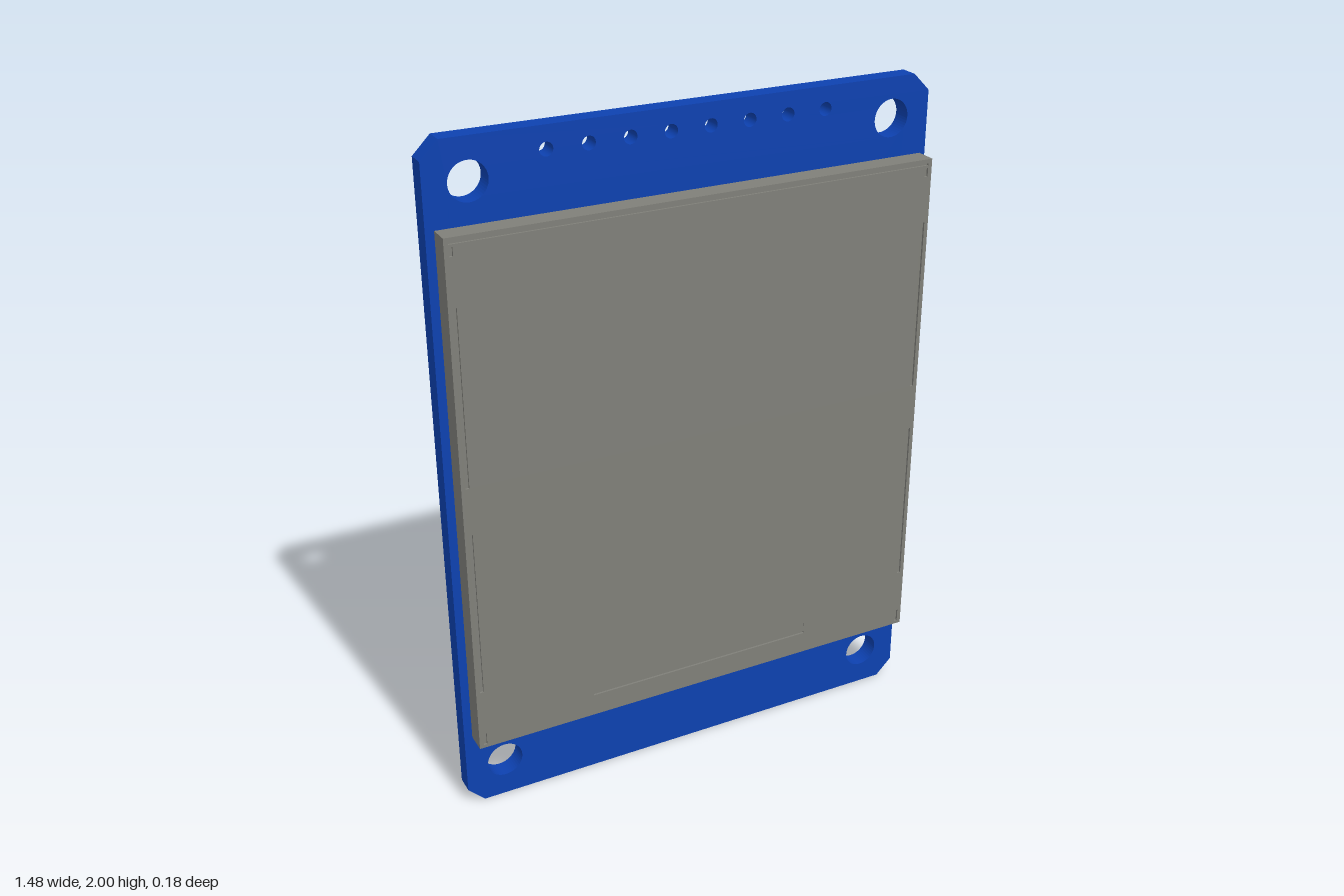
import * as THREE from 'three';

const material = (name, color) => {
  const m = new THREE.MeshStandardMaterial({ color });
  m.name = name;
  return m;
};

// Closed rectangle as a path, used for outlines and cut-outs
function rectPath(x0, y0, x1, y1, Type = THREE.Path) {
  const p = new Type();
  p.moveTo(x0, y0).lineTo(x1, y0).lineTo(x1, y1).lineTo(x0, y1).closePath();
  return p;
}

function roundHole(x, y, r) {
  const p = new THREE.Path();
  p.absarc(x, y, r, 0, Math.PI * 2, true);
  return p;
}

export function createModel() {
  const model = new THREE.Group();
  model.name = 'displayModule';
  const blue = material('boardBlue', 0x0d41b0);
  const grey = material('screenGrey', 0x7f7f79);
  const metal = material('componentGrey', 0x878782);
  const black = material('componentBlack', 0x121212);

  function add(parent, name, geometry, mat) {
    const mesh = new THREE.Mesh(geometry, mat);
    mesh.name = name;
    parent.add(mesh);
    return mesh;
  }
  function box(parent, name, mat, x0, x1, y0, y1, z0, z1) {
    const mesh = add(parent, name, new THREE.BoxGeometry(x1 - x0, y1 - y0, z1 - z0), mat);
    mesh.position.set((x0 + x1) / 2, (y0 + y1) / 2, (z0 + z1) / 2);
    return mesh;
  }
  function plate(parent, name, mat, shape, z0, z1) {
    const geometry = new THREE.ExtrudeGeometry(shape, { depth: z1 - z0, bevelEnabled: false, curveSegments: 24 });
    geometry.translate(0, 0, z0);
    return add(parent, name, geometry, mat);
  }

  // Circuit board with clipped corners, mounting holes and a pin row
  const W = 0.74, H = 2, C = 0.05, BACK = -0.035, FRONT = 0.02;
  const outline = new THREE.Shape([
    [-W + C, 0], [W - C, 0], [W, C], [W, H - C],
    [W - C, H], [-W + C, H], [-W, H - C], [-W, C],
  ].map(([x, y]) => new THREE.Vector2(x, y)));
  for (const x of [-0.62, 0.62]) {
    for (const y of [0.12, 1.885]) outline.holes.push(roundHole(x, y, 0.054));
  }
  for (let i = 0; i < 8; i++) outline.holes.push(roundHole(-0.41 + i * 0.1164, 1.937, 0.019));
  plate(model, 'circuitBoard', blue, outline, BACK, FRONT);

  // Screen: solid body with a thin front panel carrying shallow slots
  const screen = new THREE.Group();
  screen.name = 'screen';
  model.add(screen);
  box(screen, 'screenBody', grey, -0.718, 0.718, 0.24, 1.775, 0.027, 0.084);
  const panel = rectPath(-0.718, 0.24, 0.718, 1.775, THREE.Shape);
  for (const s of [-1, 1]) {
    for (const [y0, y1] of [[0.25, 0.29], [0.43, 0.94], [1.08, 1.59], [1.725, 1.75]]) {
      const a = s * 0.695, b = s * 0.706;
      panel.holes.push(rectPath(Math.min(a, b), y0, Math.max(a, b), y1));
    }
  }
  panel.holes.push(rectPath(-0.706, 1.757, 0.706, 1.763));
  panel.holes.push(rectPath(-0.36, 0.308, 0.355, 0.345));
  plate(screen, 'frontPanel', grey, panel, 0.084, 0.09);
  box(screen, 'slotFill', grey, -0.36, 0.355, 0.315, 0.345, 0.084, 0.089);

  // Flat ribbon folded under the lower screen edge
  box(screen, 'ribbonFold', grey, -0.48, 0.36, 0.23, 0.25, 0.02, 0.065);
  box(screen, 'ribbonBack', grey, -0.48, 0.36, 0.25, 0.75, 0.02, 0.0275);

  // Small parts on the back
  const parts = new THREE.Group();
  parts.name = 'backComponents';
  model.add(parts);
  for (const x of [0.465, 0.226, 0.165]) {
    box(parts, 'resistor', black, x - 0.02, x + 0.02, 0.93, 1.0, -0.058, BACK);
  }
  box(parts, 'capacitor', metal, 0.07, 0.108, 0.93, 1.0, -0.075, BACK);

  // Transistor body with sloped sides, and three bent leads
  const tx = 0.342;
  const profile = new THREE.Shape([
    [-0.06, 0.041], [0.06, 0.041], [0.068, 0.067], [0.06, 0.09], [-0.06, 0.09], [-0.068, 0.067],
  ].map(([x, z]) => new THREE.Vector2(x, z)));
  const body = new THREE.ExtrudeGeometry(profile, { depth: 0.055, bevelEnabled: false });
  body.rotateX(-Math.PI / 2); // profile height now runs towards -z
  body.translate(tx, 0.947, 0);
  add(parts, 'transistorBody', body, metal);
  for (const [dx, dir] of [[0, 1], [-0.045, -1], [0.045, -1]]) {
    const edge = dir > 0 ? 1.0 : 0.949, tip = edge + dir * 0.02;
    const lo = Math.min(edge, tip), hi = Math.max(edge, tip);
    const x0 = tx + dx - 0.01, x1 = tx + dx + 0.01;
    box(parts, 'transistorLead', metal, x0, x1, lo, hi, -0.067, -0.059);
    box(parts, 'transistorFoot', metal, x0, x1, dir > 0 ? hi - 0.007 : lo, dir > 0 ? hi : lo + 0.007, -0.059, BACK);
  }

  // Fine raised outlines on the back
  const t = 0.004;
  for (const [x0, y0, x1, y1] of [
    [-0.53, 0.19, 0.46, 0.71], [-0.42, 1.21, 0.46, 1.57], [-0.63, 0.99, -0.16, 1.13],
  ]) {
    const frame = rectPath(x0, y0, x1, y1, THREE.Shape);
    frame.holes.push(rectPath(x0 + t, y0 + t, x1 - t, y1 - t));
    plate(model, 'printedOutline', blue, frame, BACK - 0.001, BACK);
  }
  return model;
}
